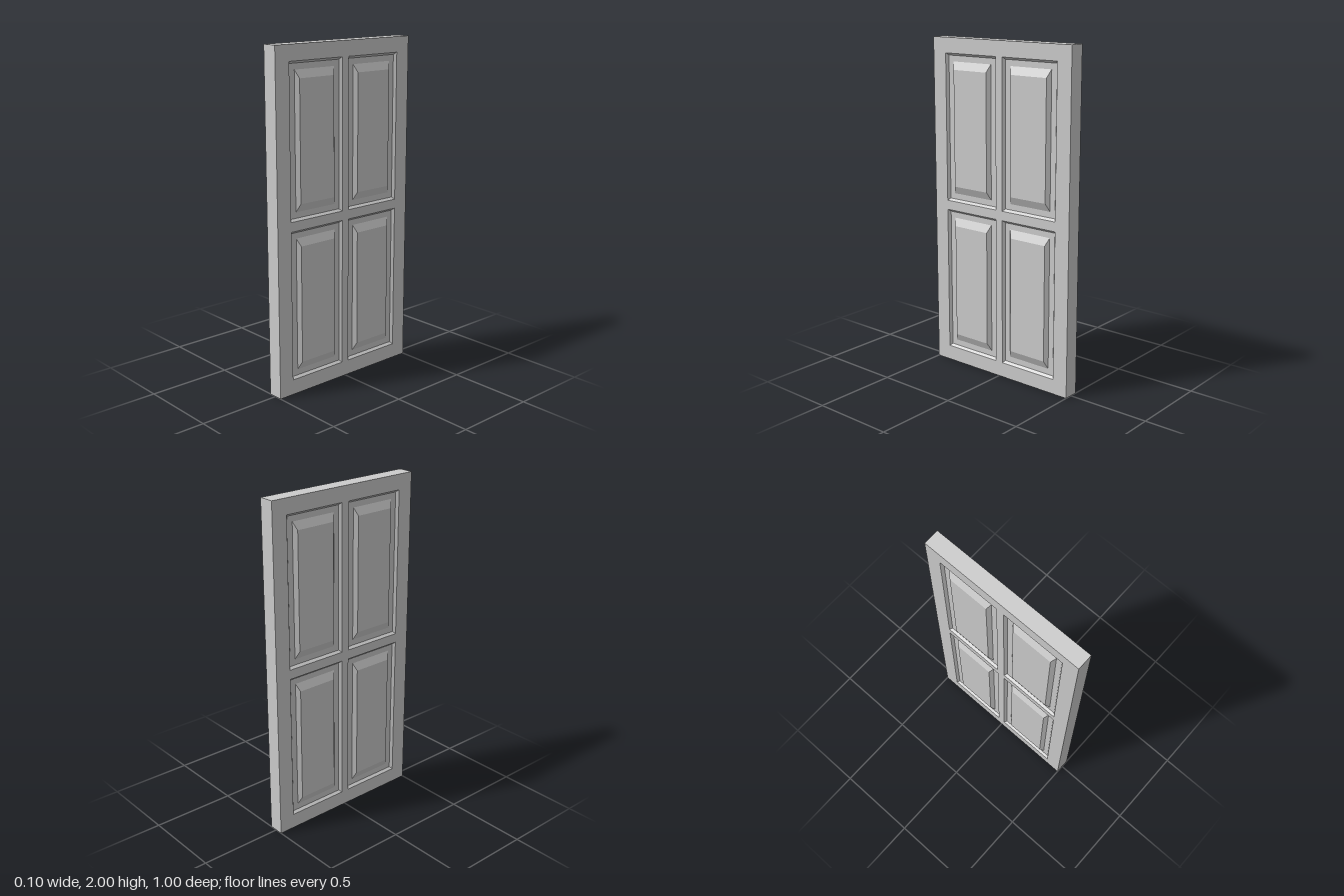
import * as THREE from 'three';

const FACE = 0.0465;                       // half thickness of the frame
const PANEL_Z = 0.2145, PANEL_Y = 0.469;   // panel centres, offset from the door centre
// nested rectangles from opening to raised field: half width, half height, depth
const STEPS = [
  [0.1905, 0.441, FACE],
  [0.178, 0.428, 0.031],
  [0.143, 0.393, 0.031],
  [0.124, 0.347, 0.052],
];

function rectangle(target, cx, cy, hw, hh) {
  target.moveTo(cx - hw, cy - hh);
  target.lineTo(cx + hw, cy - hh);
  target.lineTo(cx + hw, cy + hh);
  target.lineTo(cx - hw, cy + hh);
  target.closePath();
  return target;
}

// moulded edge, flat recess, bevel and raised field, facing +z
function panelGeometry() {
  const corners = ([w, h, d]) => [[-w, -h, d], [w, -h, d], [w, h, d], [-w, h, d]];
  const positions = [];
  const quad = (a, b, c, d) => positions.push(...a, ...b, ...c, ...a, ...c, ...d);
  for (let s = 0; s < STEPS.length - 1; s++) {
    const outer = corners(STEPS[s]), inner = corners(STEPS[s + 1]);
    for (let i = 0; i < 4; i++) {
      const j = (i + 1) % 4;
      quad(outer[i], outer[j], inner[j], inner[i]);
    }
  }
  quad(...corners(STEPS[STEPS.length - 1]));
  const geometry = new THREE.BufferGeometry();
  geometry.setAttribute('position', new THREE.Float32BufferAttribute(positions, 3));
  geometry.computeVertexNormals();
  return geometry;
}

export function createModel() {
  const door = new THREE.Group();
  door.name = 'panelDoor';
  const grey = new THREE.MeshStandardMaterial({ color: 0xcccccc });
  grey.name = 'light grey';

  // frame of stiles and rails with four openings
  const outline = rectangle(new THREE.Shape(), 0, 1, 0.5, 1);
  for (const sz of [-1, 1]) for (const sy of [-1, 1]) {
    outline.holes.push(rectangle(new THREE.Path(), sz * PANEL_Z, 1 + sy * PANEL_Y, STEPS[0][0], STEPS[0][1]));
  }
  const frameGeometry = new THREE.ExtrudeGeometry(outline, { depth: 2 * FACE, bevelEnabled: false });
  frameGeometry.translate(0, 0, -FACE).rotateY(Math.PI / 2);
  const frame = new THREE.Mesh(frameGeometry, grey);
  frame.name = 'frame';
  door.add(frame);

  // raised panels on both faces
  const geometry = panelGeometry();
  for (const side of [-1, 1]) for (const sz of [-1, 1]) for (const sy of [-1, 1]) {
    const panel = new THREE.Mesh(geometry, grey);
    panel.name = `${side > 0 ? 'left' : 'right'}Face${sy > 0 ? 'Upper' : 'Lower'}${sz > 0 ? 'Front' : 'Back'}Panel`;
    panel.rotation.y = side * Math.PI / 2;
    panel.position.set(0, 1 + sy * PANEL_Y, sz * PANEL_Z);
    door.add(panel);
  }
  return door;
}
